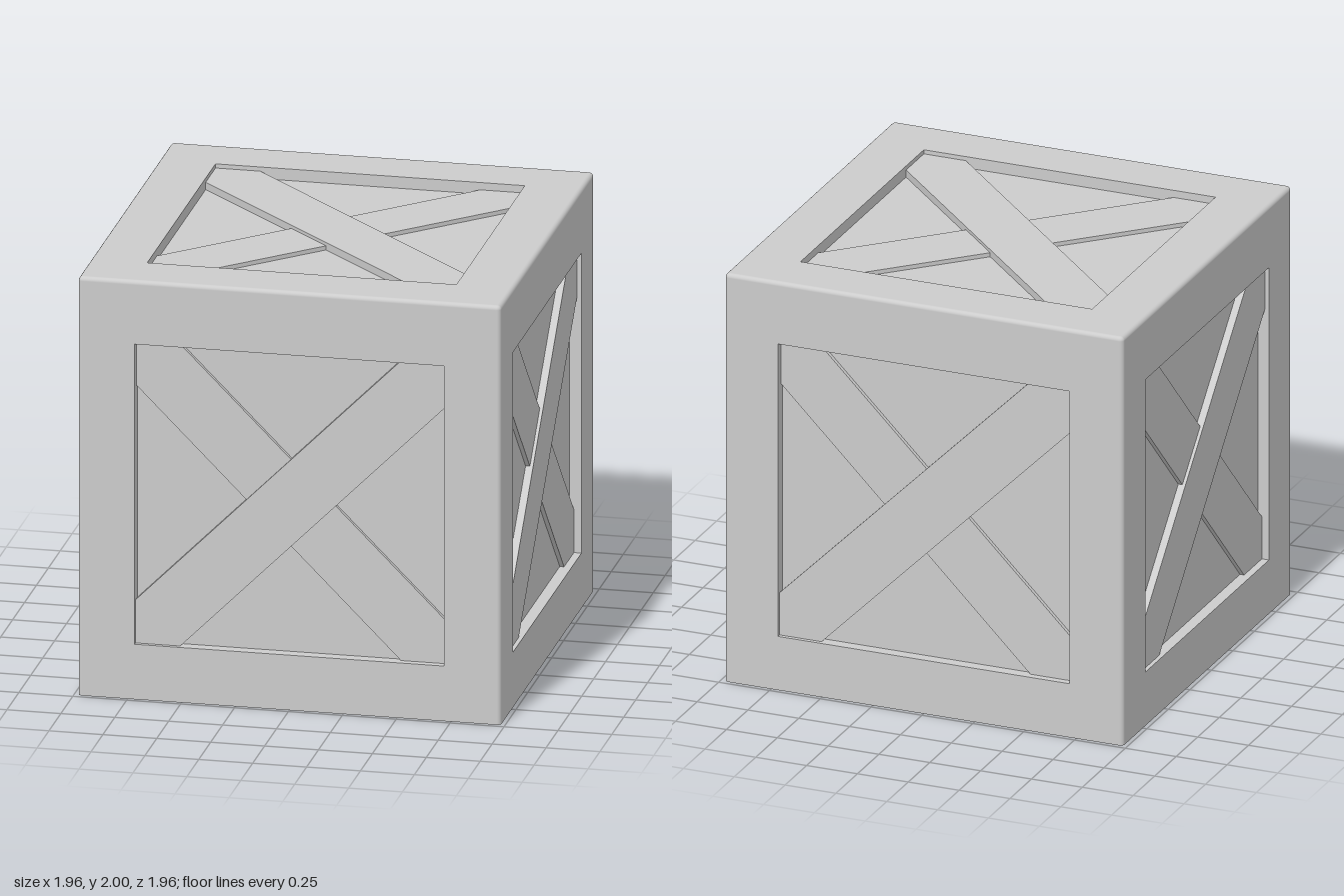
import * as THREE from 'three';
import { mergeGeometries } from 'three/addons/utils/BufferGeometryUtils.js';

const HALF = 0.98;               // half width of the crate
const TOP = 2;                   // height of the lid
const R = 0.02;                  // rounding of the outer edges
const H = 0.717;                 // half size of each recess
const W = 0.207;                 // where a brace edge crosses the axis
const G = H - W;                 // where a brace edge meets the frame
const UPPER = 0.02, LOWER = 0.035, FLOOR = 0.055; // depths below the frame

const grey = new THREE.MeshStandardMaterial({ color: 0xcccccc, side: THREE.DoubleSide });
grey.name = 'crateGrey';

function mesh(name, geometry) {
  const m = new THREE.Mesh(geometry, grey);
  m.name = name;
  return m;
}

// Flat polygon sunk to a depth, with a skirt rising to each neighbour's depth
// (null where the neighbour is deeper and brings its own skirt).
function region(points, depth, rims) {
  const shape = new THREE.Shape(points.map(([x, y]) => new THREE.Vector2(x, y)));
  const parts = [new THREE.ShapeGeometry(shape).translate(0, 0, -depth).toNonIndexed()];
  points.forEach((a, i) => {
    if (rims[i] === null) return;
    const b = points[(i + 1) % points.length];
    const corner = ([x, y], d) => [x, y, -d];
    const b0 = corner(b, depth), a0 = corner(a, depth);
    const a1 = corner(a, rims[i]), b1 = corner(b, rims[i]);
    const wall = new THREE.BufferGeometry();
    wall.setAttribute('position', new THREE.Float32BufferAttribute(
      [b0, a0, a1, b0, a1, b1].flat(), 3));
    wall.setAttribute('uv', new THREE.Float32BufferAttribute(new Array(12).fill(0), 2));
    wall.computeVertexNormals();
    parts.push(wall);
  });
  return mergeGeometries(parts);
}

// The same region and its half-turn copy
function pair(points, depth, rims) {
  const a = region(points, depth, rims);
  return mergeGeometries([a, a.clone().rotateZ(Math.PI)]);
}

// One face: frame, sunken boards and two crossing braces, facing +z
function createFace(name, x, bottom, top) {
  const face = new THREE.Group();
  face.name = name;

  const outline = new THREE.Shape([
    new THREE.Vector2(-x, bottom), new THREE.Vector2(x, bottom),
    new THREE.Vector2(x, top), new THREE.Vector2(-x, top)]);
  outline.holes.push(new THREE.Path([
    new THREE.Vector2(-H, -H), new THREE.Vector2(-H, H),
    new THREE.Vector2(H, H), new THREE.Vector2(H, -H)]));
  face.add(mesh('frame', new THREE.ShapeGeometry(outline)));

  face.add(mesh('upperBrace', region(
    [[-H, -G], [-H, -H], [-G, -H], [H, G], [H, H], [G, H]],
    UPPER, [0, 0, null, 0, 0, null])));

  face.add(mesh('lowerBrace', pair(
    [[-G, H], [-H, H], [-H, G], [-W, 0], [0, W]],
    LOWER, [0, 0, null, UPPER, null])));

  face.add(mesh('topAndBottomBoards', pair(
    [[G, H], [-G, H], [0, W]], FLOOR, [0, LOWER, UPPER])));
  face.add(mesh('sideBoards', pair(
    [[-H, G], [-H, -G], [-W, 0]], FLOOR, [0, UPPER, LOWER])));
  return face;
}

export function createModel() {
  const crate = new THREE.Group();
  crate.name = 'crate';
  const inner = HALF - R;
  const edgeLength = TOP - R;

  ['front', 'left', 'back', 'right'].forEach((side, i) => {
    const turn = new THREE.Group();
    turn.name = side + 'Side';
    turn.rotation.y = i * Math.PI / 2;

    // Wall, with its recess centred a little below mid height
    const wall = createFace(side + 'Wall', inner, -HALF, edgeLength - HALF);
    wall.position.set(0, HALF, HALF);
    turn.add(wall);

    // Rounded upright, lid edge and corner
    const upright = mesh('uprightEdge',
      new THREE.CylinderGeometry(R, R, edgeLength, 5, 1, true, 0, Math.PI / 2));
    upright.position.set(inner, edgeLength / 2, inner);
    const lidEdge = mesh('lidEdge',
      new THREE.CylinderGeometry(R, R, inner * 2, 5, 1, true, 0, Math.PI / 2).rotateZ(Math.PI / 2));
    lidEdge.position.set(0, edgeLength, inner);
    const corner = mesh('lidCorner',
      new THREE.SphereGeometry(R, 5, 5, Math.PI / 2, Math.PI / 2, 0, Math.PI / 2));
    corner.position.set(inner, edgeLength, inner);
    turn.add(upright, lidEdge, corner);
    crate.add(turn);
  });

  // Lid; the underside stays open
  const lid = createFace('lid', inner, -inner, inner);
  lid.rotation.set(-Math.PI / 2, 0, Math.PI / 2);
  lid.position.y = TOP;
  crate.add(lid);

  return crate;
}
